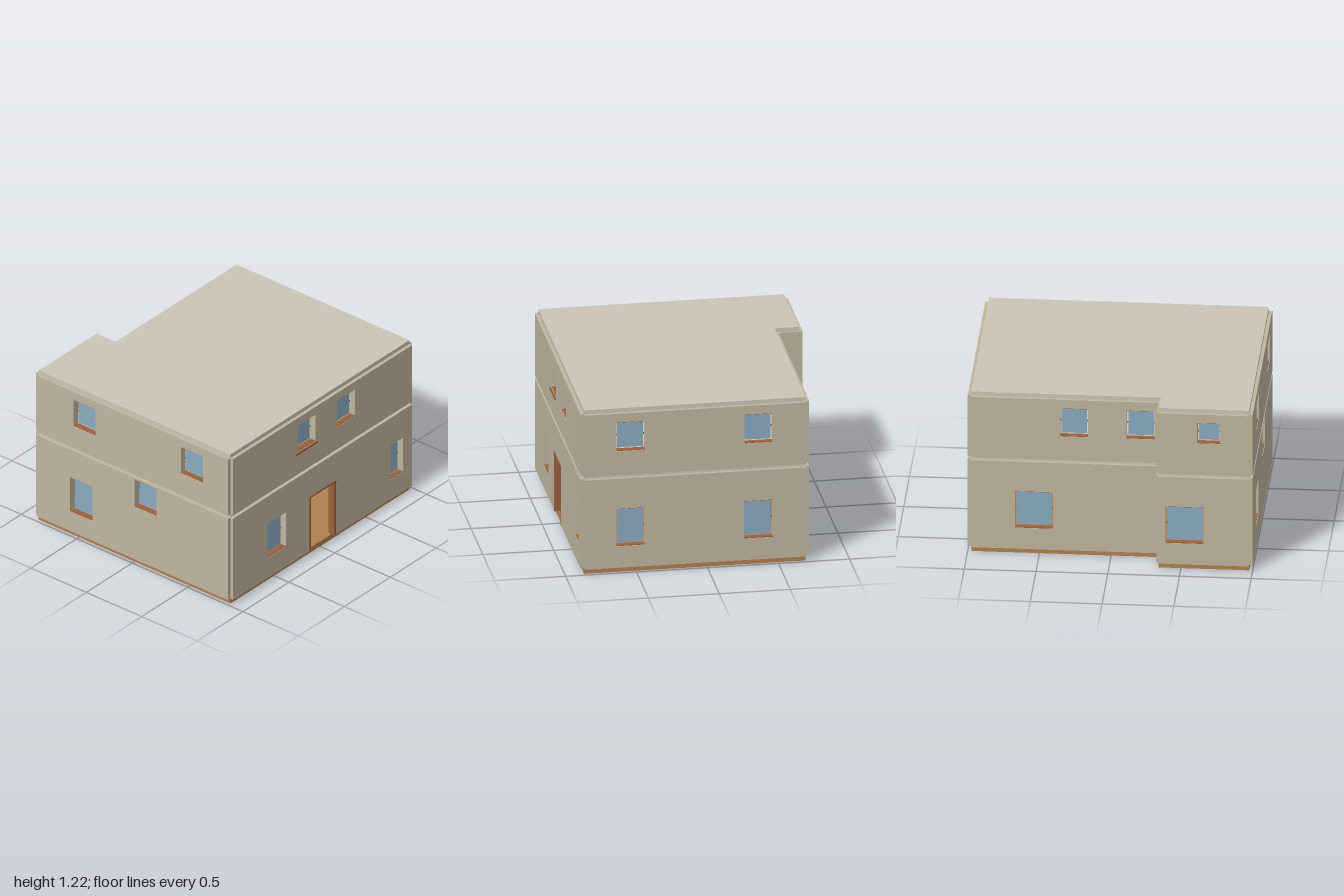
import * as THREE from 'three';

const mat = (color, extra = {}) => new THREE.MeshStandardMaterial({ color, ...extra });
const plaster = mat(0xbfb59e), slabMat = mat(0xcac5b7), wood = mat(0xb08050);
const darkWood = mat(0x9a5f3c), glass = mat(0x8aaac0), green = mat(0x6f8a4a), pale = mat(0xd8d4c8);

const T = 0.05; // wall thickness

function add(parent, name, geo, material, x = 0, y = 0, z = 0) {
  const m = new THREE.Mesh(geo, material);
  m.name = name;
  m.position.set(x, y, z);
  parent.add(m);
  return m;
}
const box = (parent, name, material, x0, x1, y0, y1, z0, z1) =>
  add(parent, name, new THREE.BoxGeometry(x1 - x0, y1 - y0, z1 - z0), material,
    (x0 + x1) / 2, (y0 + y1) / 2, (z0 + z1) / 2);

function rectPath(P, u0, u1, v0, v1) {
  const p = new P();
  p.moveTo(u0, v0); p.lineTo(u1, v0); p.lineTo(u1, v1); p.lineTo(u0, v1); p.closePath();
  return p;
}

// Wall panel in its own u/y plane; openings are [u0, u1, y0, y1, isDoor]
function wall(root, name, { u, y, openings = [], x = 0, z = 0, side = false, outerAtZero }) {
  const g = new THREE.Group();
  g.name = name;
  const shape = rectPath(THREE.Shape, u[0], u[1], y[0], y[1]);
  for (const o of openings) {
    if (!o[4]) shape.holes.push(rectPath(THREE.Path, o[0], o[1], o[2], o[3]));
  }
  // a door cuts down through the bottom edge
  const door = openings.find(o => o[4]);
  if (door) {
    const s = new THREE.Shape();
    [[u[0], y[0]], [door[0], y[0]], [door[0], door[3]], [door[1], door[3]], [door[1], y[0]],
      [u[1], y[0]], [u[1], y[1]], [u[0], y[1]]].forEach(([a, b], i) => i ? s.lineTo(a, b) : s.moveTo(a, b));
    s.holes = shape.holes;
    shape.curves = s.curves;
  }
  add(g, 'wallPanel', new THREE.ExtrudeGeometry(shape, { depth: T, bevelEnabled: false }), plaster);
  const zg = outerAtZero ? T - 0.004 : 0.004; // pane sits at the inner face
  for (const [a, b, c, d, isDoor] of openings) {
    if (isDoor) continue;
    box(g, 'windowPane', glass, a + 0.009, b - 0.009, c + 0.012, d - 0.012, zg - 0.003, zg + 0.003);
    box(g, 'windowSill', darkWood, a, b, c, c + 0.005, 0.004, T - 0.004);
    box(g, 'windowHead', darkWood, a, b, d - 0.004, d, 0.004, T - 0.004);
    for (const h of [a + 0.005, b - 0.005])
      box(g, 'windowHinge', darkWood, h - 0.005, h + 0.005, (c + d) / 2 - 0.006, (c + d) / 2 + 0.006, zg - 0.002, zg + 0.002);
  }
  if (side) g.rotation.y = -Math.PI / 2;
  g.position.set(x, 0, z);
  root.add(g);
}

// L-shaped floor plate
function slab(root, name, material, y0, y1, hole) {
  const s = new THREE.Shape();
  [[-0.975, -0.865], [0.975, -0.865], [0.975, 0.695], [-0.345, 0.695], [-0.345, 0.865], [-0.975, 0.865]]
    .forEach(([x, v], i) => i ? s.lineTo(x, v) : s.moveTo(x, v));
  if (hole) s.holes.push(rectPath(THREE.Path, ...hole));
  const geo = new THREE.ExtrudeGeometry(s, { depth: y1 - y0, bevelEnabled: false });
  geo.rotateX(-Math.PI / 2);
  add(root, name, geo, material, 0, y0, 0);
}

function chair(root, x, z, facing) {
  const g = new THREE.Group();
  g.name = 'chair';
  box(g, 'chairSeat', darkWood, -0.06, 0.06, 0.1, 0.115, -0.06, 0.06);
  for (const sx of [-0.052, 0.052]) {
    box(g, 'chairFrontLeg', darkWood, sx - 0.007, sx + 0.007, 0, 0.1, 0.045, 0.058);
    box(g, 'chairBackPost', darkWood, sx - 0.007, sx + 0.007, 0, 0.29, -0.06, -0.046);
  }
  for (const sx of [-0.025, 0, 0.025]) box(g, 'chairSlat', darkWood, sx - 0.006, sx + 0.006, 0.115, 0.28, -0.057, -0.049);
  box(g, 'chairTopRail', darkWood, -0.065, 0.065, 0.275, 0.295, -0.06, -0.046);
  g.position.set(x, 0.04, z);
  g.rotation.y = facing;
  root.add(g);
}

function furnish(root) {
  // dining table with plants, chair and pendant lamp
  box(root, 'tableTop', wood, -0.13, 0.13, 0.125, 0.14, -0.1, 0.2);
  for (const x of [-0.11, 0.11]) for (const z of [-0.08, 0.18])
    box(root, 'tableLeg', darkWood, x - 0.01, x + 0.01, 0.04, 0.125, z - 0.01, z + 0.01);
  chair(root, 0, -0.17, 0);
  for (const x of [-0.08, -0.04, 0.05, 0.09]) {
    add(root, 'plantPot', new THREE.CylinderGeometry(0.014, 0.01, 0.025, 10), pale, x, 0.152, 0.1);
    add(root, 'plantLeaves', new THREE.ConeGeometry(0.016, 0.05, 7), green, x, 0.19, 0.1);
  }
  add(root, 'lampCord', new THREE.CylinderGeometry(0.003, 0.003, 0.22, 6), darkWood, 0, 0.595, 0.05);
  add(root, 'lampShade', new THREE.CylinderGeometry(0.02, 0.07, 0.05, 20), pale, 0, 0.47, 0.05);
  box(root, 'sideboard', wood, -0.28, 0.3, 0.04, 0.28, -0.66, -0.54);
  // staircase along the left-hand side wall
  const n = 11;
  for (let i = 0; i < n; i++) {
    const y = 0.04 + (i + 1) * 0.665 / n, z = 0.5 - i * 0.055;
    box(root, 'stairTread', wood, -0.945, -0.72, y - 0.02, y, z - 0.055, z);
  }
}

export function createModel() {
  const root = new THREE.Group();
  root.name = 'house';

  slab(root, 'groundSlab', wood, 0, 0.04);
  slab(root, 'middleSlab', slabMat, 0.705, 0.73, [-0.94, -0.7, -0.5, 0.1]);
  slab(root, 'roofSlab', slabMat, 1.19, 1.22);

  const lowY = [0.2, 0.48], upY = [0.91, 1.125];
  // each storey: openings of the six outer walls
  const storeys = [
    {
      name: 'lower', y: [0.04, 0.705],
      front: [[-0.605, -0.4, ...lowY], [-0.14, 0.14, 0.04, 0.48, true], [0.74, 0.875, ...lowY]],
      right: [[0.44, 0.64, ...lowY], [-0.46, -0.255, ...lowY]],
      left: [[-0.56, -0.36, ...lowY], [0.02, 0.22, 0.47, 0.695]],
      back: [[0.405, 0.67, ...lowY]],
      wing: [[-0.66, -0.395, ...lowY]],
    },
    {
      name: 'upper', y: [0.73, 1.19],
      front: [[-0.275, -0.08, ...upY], [0.155, 0.35, ...upY]],
      right: [[0.44, 0.64, ...upY], [-0.46, -0.26, ...upY]],
      left: [[-0.53, -0.33, ...upY], [0.44, 0.64, ...upY]],
      back: [[0.16, 0.355, ...upY], [-0.305, -0.11, ...upY]],
      wing: [[-0.775, -0.615, 0.97, 1.125]],
    },
  ];
  for (const s of storeys) {
    const y = s.y;
    wall(root, s.name + 'FrontWall', { u: [-0.975, 0.975], y, openings: s.front, z: 0.84 });
    wall(root, s.name + 'LeftWall', { u: [-0.695, 0.865], y, openings: s.right, x: 1, side: true, outerAtZero: true });
    wall(root, s.name + 'RightWall', { u: [-0.865, 0.865], y, openings: s.left, x: -0.95, side: true });
    wall(root, s.name + 'BackWall', { u: [-0.345, 0.975], y, openings: s.back, z: -0.72, outerAtZero: true });
    wall(root, s.name + 'WingBackWall', { u: [-0.975, -0.345], y, openings: s.wing, z: -0.89, outerAtZero: true });
    wall(root, s.name + 'WingSideWall', { u: [-0.87, -0.695], y, x: -0.33, side: true, outerAtZero: true });
  }

  // door frame and projecting sill on the front
  for (const s of [-1, 1]) box(root, 'doorPost', darkWood, s * 0.136 - 0.008, s * 0.136 + 0.008, 0.04, 0.48, 0.838, 0.892);
  box(root, 'doorLintel', darkWood, -0.148, 0.144, 0.472, 0.484, 0.838, 0.894);
  box(root, 'frontSill', darkWood, -0.297, -0.062, 0.895, 0.908, 0.86, 0.9);

  furnish(root);
  return root;
}
